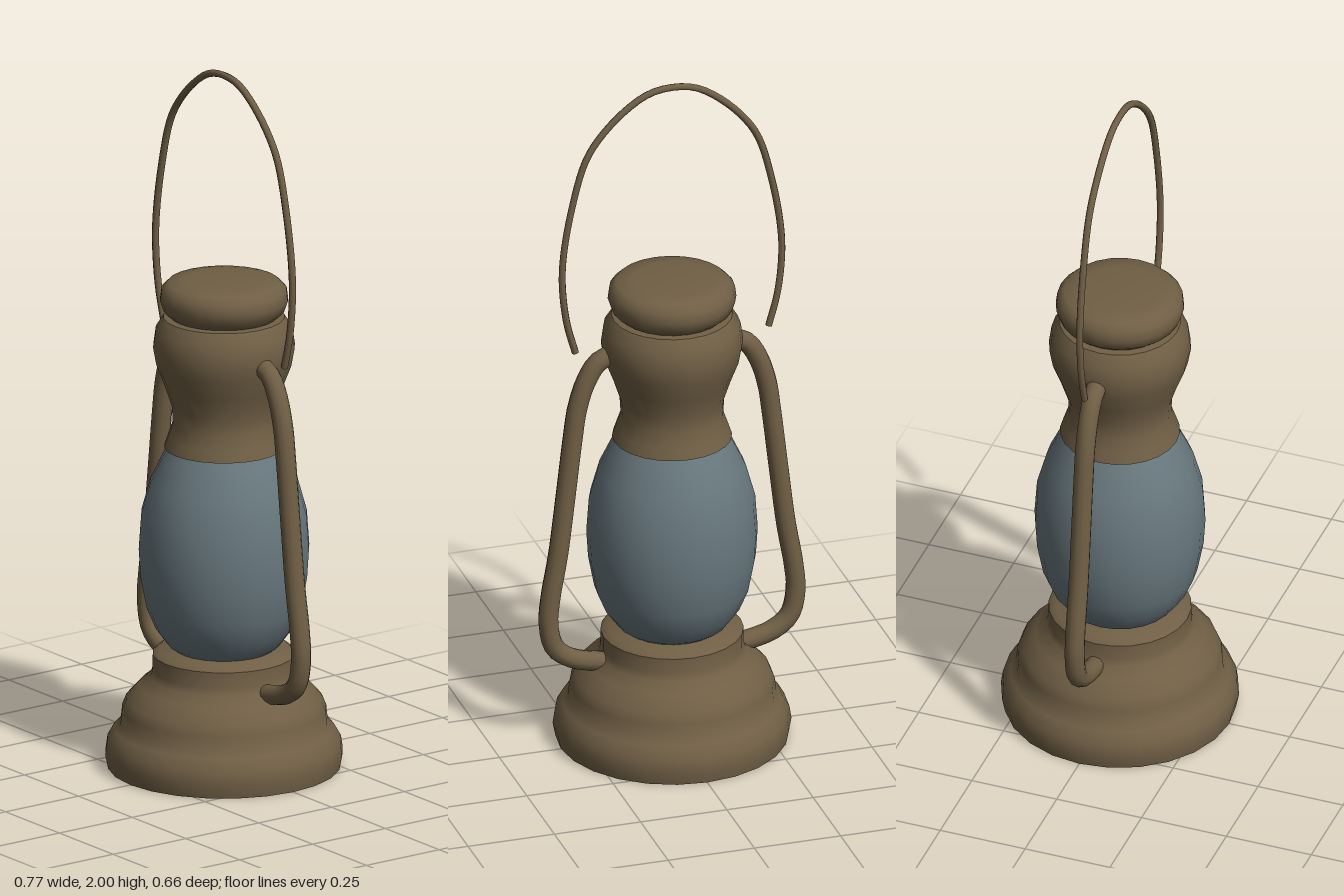
import * as THREE from 'three';
import { toCreasedNormals } from 'three/addons/utils/BufferGeometryUtils.js';

export function createModel() {
  const group = new THREE.Group();
  const metal = new THREE.MeshStandardMaterial({ name: 'bronze metal', color: 0x705f45 });
  const glass = new THREE.MeshStandardMaterial({ name: 'smoky glass', color: 0x68787e });

  const add = (name, geometry, material) => {
    const mesh = new THREE.Mesh(geometry, material);
    mesh.name = name;
    group.add(mesh);
    return mesh;
  };

  // Turned part from [radius, height] pairs, bottom to top
  const turned = (name, profile, material) => {
    const points = profile.map(([r, y]) => new THREE.Vector2(r, y));
    add(name, toCreasedNormals(new THREE.LatheGeometry(points, 24), 0.85), material);
  };

  // Round bar along [x, y] points, with closed ends
  const bar = (name, path, radius, sides, steps) => {
    const curve = new THREE.CatmullRomCurve3(path.map(([x, y]) => new THREE.Vector3(x, y, 0)));
    add(name, new THREE.TubeGeometry(curve, steps, radius, sides), metal);
    for (const t of [0, 1]) {
      const cap = add(name + 'End', new THREE.CircleGeometry(radius, sides), metal);
      const out = curve.getTangent(t).multiplyScalar(t ? 1 : -1);
      cap.position.copy(curve.getPoint(t));
      cap.quaternion.setFromUnitVectors(new THREE.Vector3(0, 0, 1), out);
    }
  };

  // Stepped foot and fuel tank
  turned('base', [
    [0, 0], [0.322, 0], [0.33, 0.04], [0.325, 0.075], [0.305, 0.11], [0.288, 0.125],
    [0.284, 0.165], [0.272, 0.195], [0.235, 0.235], [0.205, 0.26], [0.198, 0.28],
    [0.198, 0.325], [0.18, 0.34], [0, 0.34],
  ], metal);

  // Glass globe
  turned('globe', [
    [0.13, 0.335], [0.155, 0.352], [0.19, 0.4], [0.215, 0.46], [0.232, 0.55],
    [0.237, 0.63], [0.23, 0.73], [0.205, 0.82], [0.172, 0.89], [0.145, 0.94],
  ], glass);

  // Waisted chimney above the globe
  turned('chimney', [
    [0, 0.92], [0.166, 0.92], [0.156, 0.95], [0.142, 0.99], [0.145, 1.04], [0.165, 1.1],
    [0.188, 1.16], [0.197, 1.21], [0.19, 1.26], [0.168, 1.295], [0.13, 1.3], [0, 1.3],
  ], metal);

  // Rounded cap
  turned('cap', [
    [0, 1.295], [0.145, 1.295], [0.168, 1.315], [0.178, 1.345], [0.174, 1.375],
    [0.155, 1.394], [0.11, 1.4], [0, 1.401],
  ], metal);

  // Side tubes joining the chimney to the tank
  for (const [name, s] of [['leftSideTube', 1], ['rightSideTube', -1]]) {
    bar(name, [
      [0.17, 1.195], [0.215, 1.175], [0.25, 1.12], [0.275, 1.04], [0.288, 0.95], [0.308, 0.78],
      [0.33, 0.6], [0.352, 0.47], [0.358, 0.39], [0.34, 0.315], [0.29, 0.275], [0.18, 0.248],
    ].map(([x, y]) => [s * x, y]), 0.028, 12, 48);
  }

  // Wire carrying handle
  const half = [
    [0.28, 1.215], [0.305, 1.31], [0.318, 1.43], [0.314, 1.52], [0.29, 1.66],
    [0.25, 1.8], [0.205, 1.87], [0.13, 1.942], [0.065, 1.98],
  ];
  const mirrored = half.map(([x, y]) => [-x, y]).reverse();
  bar('handle', [...half, [0, 1.99], ...mirrored], 0.01, 8, 72);

  return group;
}
